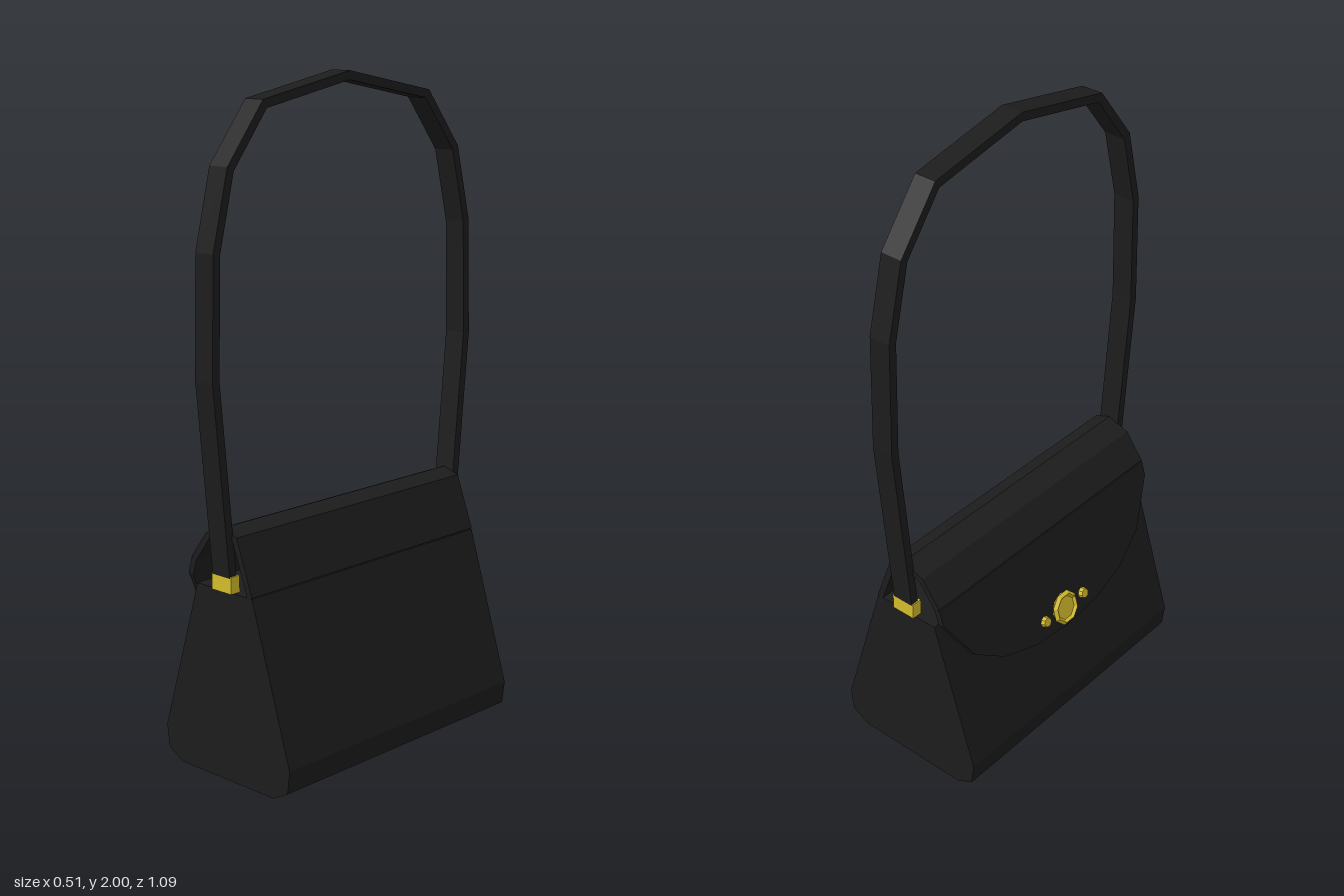
import * as THREE from 'three';

const leather = new THREE.MeshStandardMaterial({ color: 0x1c1c1c, flatShading: true, side: THREE.DoubleSide });
const brass = new THREE.MeshStandardMaterial({ color: 0xd4bc2c, flatShading: true });

const HALF = 0.478; // half length of the bag
const vec = ([x, y]) => new THREE.Vector2(x, y);

function extrude(points, depth, hole) {
  const shape = new THREE.Shape(points.map(vec));
  if (hole) shape.holes.push(new THREE.Path(hole.map(vec)));
  return new THREE.ExtrudeGeometry(shape, { depth, bevelEnabled: false });
}

// Outline of a band of even thickness along an open path, with mitred corners
function band(path, thickness) {
  const p = path.map(vec);
  const sides = [[], []];
  p.forEach((pt, i) => {
    const a = p[Math.max(i - 1, 0)], b = p[Math.min(i + 1, p.length - 1)];
    const d1 = (i > 0 ? pt.clone().sub(a) : b.clone().sub(pt)).normalize();
    const d2 = (i < p.length - 1 ? b.clone().sub(pt) : d1.clone()).normalize();
    const n = d1.clone().add(d2).normalize();
    const w = thickness / 2 / n.dot(d1);
    sides[0].push([pt.x - n.y * w, pt.y + n.x * w]);
    sides[1].unshift([pt.x + n.y * w, pt.y - n.x * w]);
  });
  return [...sides[0], ...sides[1]];
}

function add(parent, name, geometry, material) {
  const mesh = new THREE.Mesh(geometry, material);
  mesh.name = name;
  parent.add(mesh);
  return mesh;
}

export function createModel() {
  const bag = new THREE.Group();
  bag.name = 'handbag';

  // Tapered body with chamfered lower edges
  const half = [[0.19, 0], [0.247, 0.03], [0.256, 0.1], [0.112, 0.57]];
  const mirrored = half.map(([x, y]) => [-x, y]).reverse();
  add(bag, 'body', extrude([...half, ...mirrored], 2 * HALF).translate(0, 0, -HALF), leather);

  // Arched cover over the opening
  const cover = [[0.103, 0.57], [0.045, 0.728], [0, 0.745], [-0.065, 0.72], [-0.125, 0.64]];
  add(bag, 'flapTop', extrude(band(cover, 0.02), 2 * HALF).translate(0, 0, -HALF), leather);

  // Hanging panel: local x runs along the bag, y down the slope, z into the bag
  const front = new THREE.Group();
  front.name = 'flapFront';
  const down = new THREE.Vector3(-0.09, -0.315, 0).normalize();
  const along = new THREE.Vector3(0, 0, 1);
  front.applyMatrix4(new THREE.Matrix4()
    .makeBasis(along, down, along.clone().cross(down))
    .setPosition(-0.125, 0.64, 0));
  bag.add(front);
  const edge = [[HALF, 0], [HALF, 0.05], [0.39, 0.2], [0.28, 0.275], [0.15, 0.315], [0, 0.328]];
  const otherEdge = edge.slice(0, -1).map(([x, y]) => [-x, y]).reverse();
  add(front, 'flapPanel', extrude([...edge, ...otherEdge], 0.02).translate(0, 0, -0.01), leather);

  // Round clasp with a raised rim, and a stud on each side
  const clasp = add(front, 'clasp', new THREE.CylinderGeometry(0.05, 0.05, 0.012, 8).rotateX(Math.PI / 2), brass);
  clasp.position.set(0, 0.264, -0.014);
  const rim = add(front, 'claspRim', new THREE.TorusGeometry(0.046, 0.01, 4, 8).rotateZ(Math.PI / 8), brass);
  rim.position.set(0, 0.264, -0.018);
  for (const side of [-1, 1]) {
    const stud = add(front, 'claspStud', new THREE.CylinderGeometry(0.015, 0.018, 0.016, 8).rotateX(-Math.PI / 2), brass);
    stud.position.set(side * 0.09, 0.264, -0.016);
  }

  // Shoulder strap arching from end to end
  const rise = [[0.473, 0.585], [0.53, 1.18], [0.521, 1.53], [0.466, 1.755], [0.335, 1.922]];
  const fall = rise.map(([z, y]) => [-z, y]).reverse();
  const strap = extrude(band([...rise, [0, 1.987], ...fall], 0.026), 0.07);
  add(bag, 'strap', strap.translate(0, 0, -0.035).rotateY(-Math.PI / 2), leather);

  // Brass loops around the strap ends
  const rect = (w, d) => [[-w, -d], [w, -d], [w, d], [-w, d]];
  for (const side of [-1, 1]) {
    const loop = add(bag, 'strapLoop', extrude(rect(0.039, 0.017), 0.05, rect(0.031, 0.01)).rotateX(-Math.PI / 2), brass);
    loop.position.set(0, 0.57, side * 0.472);
  }

  return bag;
}
